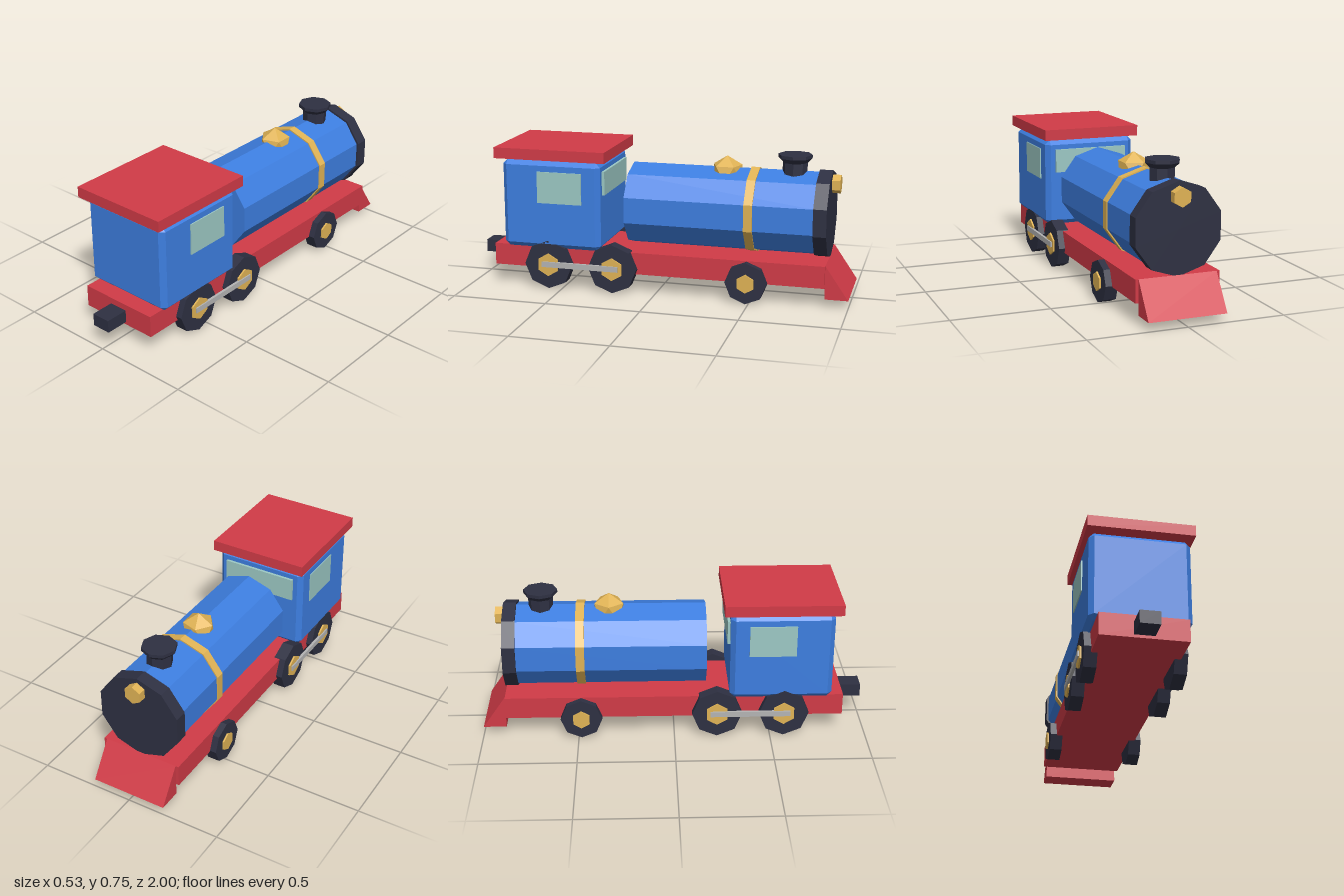
import * as THREE from 'three';
import { ConvexGeometry } from 'three/addons/geometries/ConvexGeometry.js';

const paint = (color) => new THREE.MeshStandardMaterial({ color, flatShading: true });

export function createModel() {
  const train = new THREE.Group();
  train.name = 'toyTrain';
  const red = paint(0xd13b47), blue = paint(0x3d7ee0), dark = paint(0x2e3042);
  const gold = paint(0xe0b355), glass = paint(0x9cc8c4), steel = paint(0xb4b4b4);

  const add = (name, geometry, material, x = 0, y = 0, z = 0) => {
    const mesh = new THREE.Mesh(geometry, material);
    mesh.name = name;
    mesh.position.set(x, y, z);
    train.add(mesh);
    return mesh;
  };
  // Box given by its extents
  const box = (name, material, [x0, x1], [y0, y1], [z0, z1]) =>
    add(name, new THREE.BoxGeometry(x1 - x0, y1 - y0, z1 - z0), material,
      (x0 + x1) / 2, (y0 + y1) / 2, (z0 + z1) / 2);
  // Cylinder lying along z
  const drumZ = (name, material, r, sides, y, z0, z1) =>
    add(name, new THREE.CylinderGeometry(r, r, z1 - z0, sides).rotateX(Math.PI / 2),
      material, 0, y, (z0 + z1) / 2);
  // Cylinder lying along x, with a corner pointing straight up
  const drumX = (name, material, r, sides, xa, xb, y, z) =>
    add(name, new THREE.CylinderGeometry(r, r, Math.abs(xb - xa), sides, 1, false, Math.PI / 2)
      .rotateZ(Math.PI / 2), material, (xa + xb) / 2, y, z);

  // Chassis and coupler
  box('chassis', red, [-0.216, 0.216], [0.103, 0.218], [-0.88, 0.88]);
  box('coupler', dark, [-0.05, 0.05], [0.118, 0.184], [0.87, 1]);

  // Wedge-shaped track guard
  const wedge = new THREE.Shape([
    new THREE.Vector2(0.88, 0.043), new THREE.Vector2(1, 0.043), new THREE.Vector2(0.88, 0.218),
  ]);
  const guard = new THREE.ExtrudeGeometry(wedge, { depth: 0.4, bevelEnabled: false });
  add('trackGuard', guard.translate(0, 0, -0.2).rotateY(Math.PI / 2), red);

  // Cab with chamfered edges
  const half = [0.25, 0.2335, 0.265], chamfer = 0.025, corners = [];
  for (const sx of [-1, 1]) for (const sy of [-1, 1]) for (const sz of [-1, 1])
    for (let axis = 0; axis < 3; axis++) {
      const [x, y, z] = half.map((h, i) => (i === axis ? h : h - chamfer));
      corners.push(new THREE.Vector3(sx * x, sy * y, sz * z));
    }
  add('cab', new ConvexGeometry(corners), blue, 0, 0.4505, 0.551);
  box('roof', red, [-0.266, 0.266], [0.69, 0.747], [0.253, 0.853]);
  box('frontWindow', glass, [-0.2, 0.2], [0.51, 0.634], [0.272, 0.3]);

  // Boiler, smokebox, band and lamp
  drumZ('boiler', blue, 0.217, 10, 0.438, -0.82, 0.168);
  drumZ('smokebox', dark, 0.228, 10, 0.438, -0.88, -0.812);
  drumZ('boilerBand', gold, 0.224, 10, 0.438, -0.505, -0.46);
  drumZ('headlamp', gold, 0.048, 6, 0.596, -0.922, -0.87);

  // Faceted steam dome, one corner up
  const tilt = Math.atan2(1, (1 + Math.sqrt(5)) / 2);
  add('steamDome', new THREE.IcosahedronGeometry(0.088).rotateZ(tilt), gold, 0, 0.626, -0.333);

  // Chimney with flared rim
  const chimney = [[0, 0.6], [0.064, 0.6], [0.064, 0.698], [0.088, 0.722], [0.088, 0.739], [0, 0.739]];
  add('chimney', new THREE.LatheGeometry(chimney.map(([r, y]) => new THREE.Vector2(r, y)), 8),
    dark, 0, 0, -0.685);

  // Mirrored side parts: windows, wheels, hubs and rods
  for (const [side, s] of [['left', 1], ['right', -1]]) {
    const span = (a, b) => (s > 0 ? [a, b] : [-b, -a]);
    box(side + 'Window', glass, span(0.24, 0.256), [0.462, 0.628], [0.382, 0.622]);
    for (const [name, r, hub, z] of [
      ['RearWheel', 0.13, 0.061, 0.57],
      ['MiddleWheel', 0.13, 0.061, 0.222],
      ['FrontWheel', 0.108, 0.049, -0.484],
    ]) {
      drumX(side + name, dark, r, 8, s * 0.185, s * 0.25, r, z);
      drumX(side + name + 'Hub', gold, hub, 6, s * 0.24, s * 0.259, r, z);
    }
    box(side + 'CouplingRod', steel, span(0.252, 0.266), [0.119, 0.148], [0.187, 0.603]);
  }
  return train;
}
